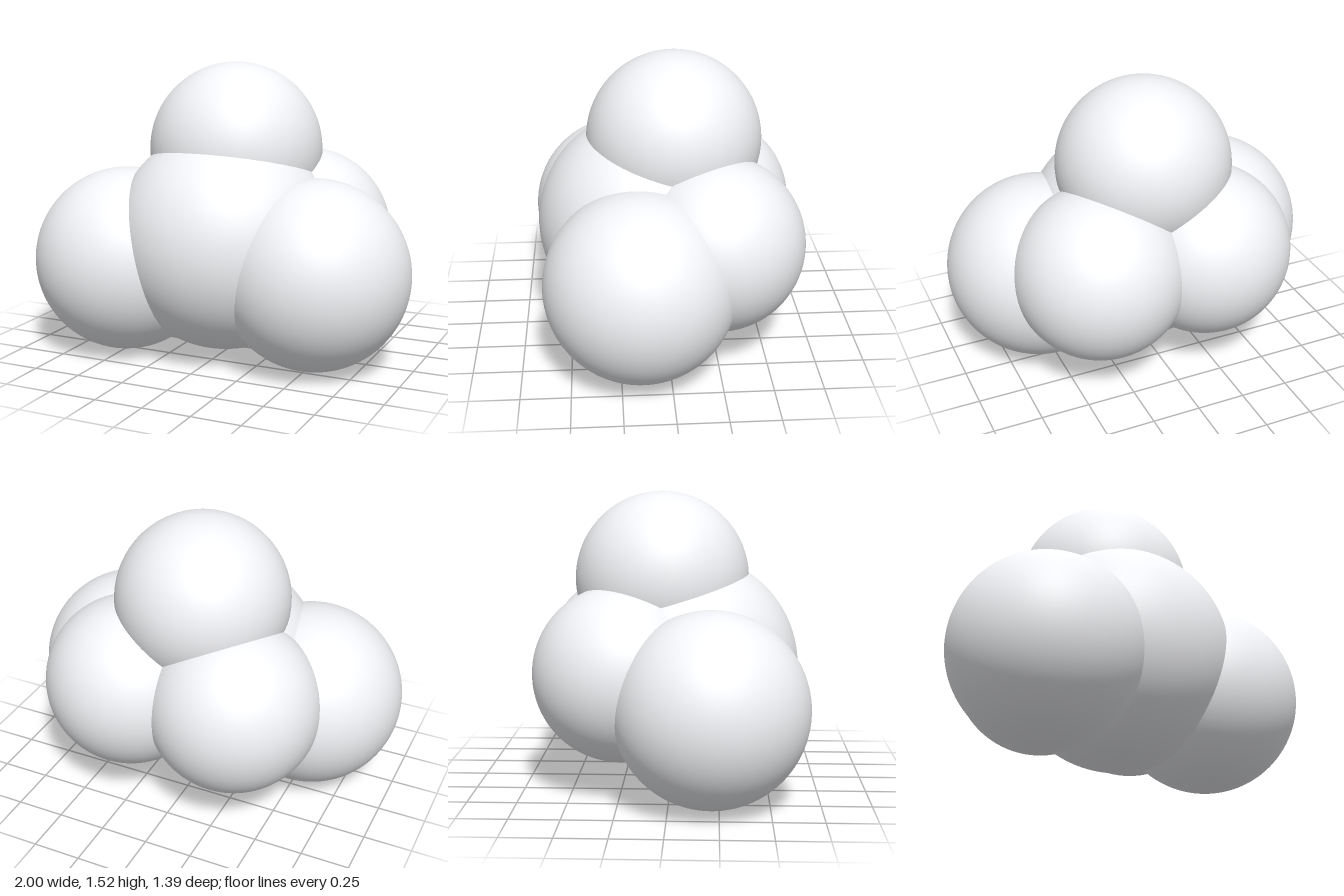
import * as THREE from 'three';

export function createModel() {
  const group = new THREE.Group();
  const material = new THREE.MeshStandardMaterial({ color: 0xf2f3f6 });

  // name, radius, centre: overlapping balls packed around one larger core
  const balls = [
    ['coreBall', 0.577, [0, 0.614, 0.082]],
    ['topBall', 0.45, [0, 1.068, -0.05]],
    ['frontLeftBall', 0.483, [0.517, 0.485, 0.147]],
    ['frontRightBall', 0.483, [-0.517, 0.485, 0.209]],
    ['backLeftBall', 0.449, [0.321, 0.613, -0.246]],
    ['backRightBall', 0.449, [-0.261, 0.613, -0.246]],
  ];

  for (const [name, radius, centre] of balls) {
    const ball = new THREE.Mesh(new THREE.SphereGeometry(radius, 96, 64), material);
    ball.name = name;
    ball.position.set(...centre);
    group.add(ball);
  }
  return group;
}
